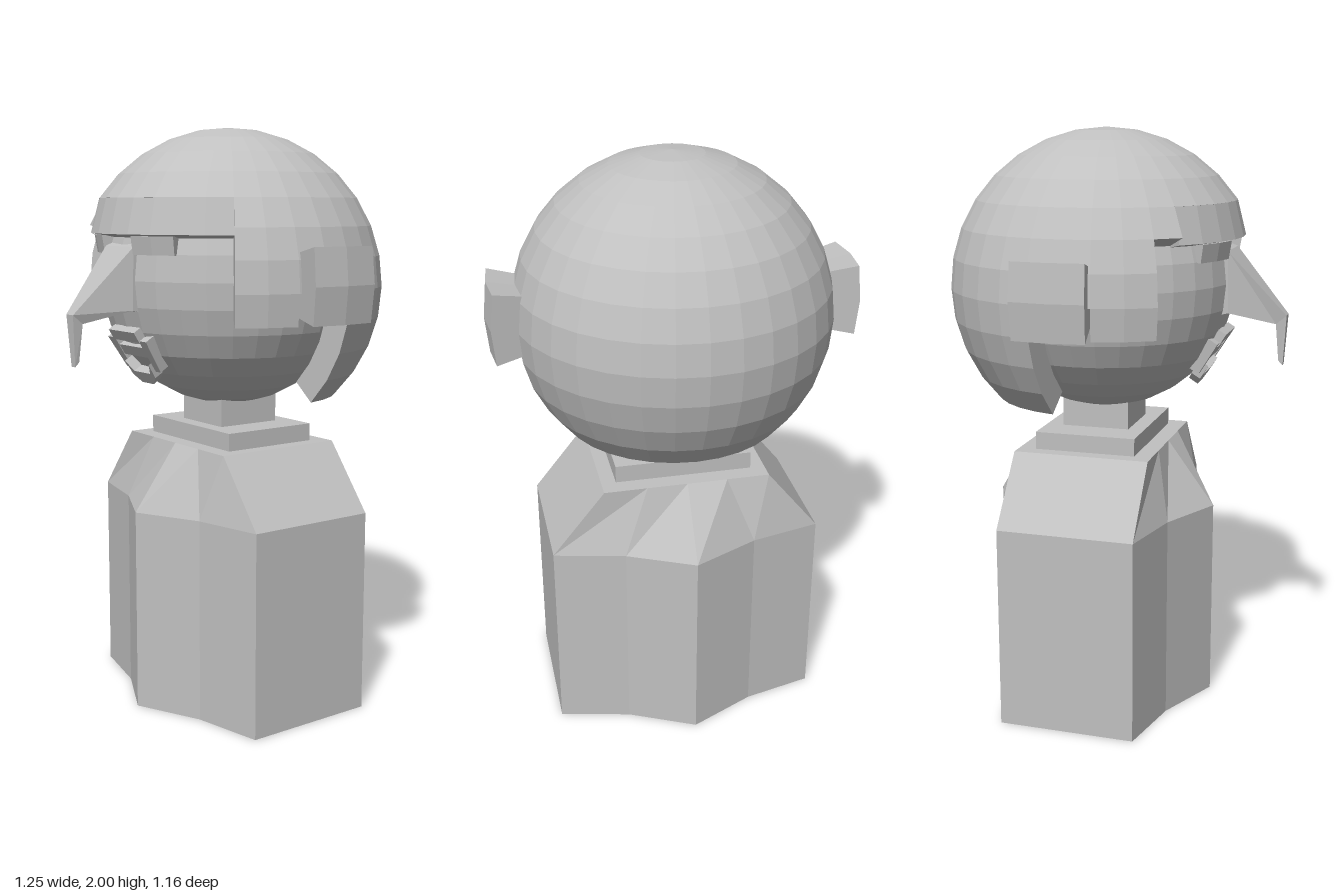
import * as THREE from 'three';
import { mergeGeometries } from 'three/addons/utils/BufferGeometryUtils.js';

const STEP = 11.25; // degrees per facet of the head and hair
const rad = THREE.MathUtils.degToRad;

// Faceted normals
function flat(geometry) {
  const g = geometry.index ? geometry.toNonIndexed() : geometry;
  g.computeVertexNormals();
  return g;
}

// Closed solid through rings of [x, y, z] points with equal counts
function loft(rings) {
  const n = rings[0].length, pos = [];
  const tri = (a, b, c) => pos.push(...a, ...b, ...c);
  const mid = r => [0, 1, 2].map(k => r.reduce((s, p) => s + p[k], 0) / n);
  const first = rings[0], last = rings[rings.length - 1];
  for (let i = 0; i < n; i++) {
    const j = (i + 1) % n;
    for (let s = 0; s < rings.length - 1; s++) {
      const a = rings[s], b = rings[s + 1];
      tri(a[i], a[j], b[j]);
      tri(a[i], b[j], b[i]);
    }
    tri(mid(first), first[j], first[i]);
    tri(mid(last), last[i], last[j]);
  }
  const g = new THREE.BufferGeometry();
  g.setAttribute('position', new THREE.Float32BufferAttribute(pos, 3));
  return flat(g);
}

// Profile of a thick spherical shell between two latitude rings
function arcProfile(from, to, outer, inner, y) {
  const pts = [];
  const add = (k, r) => pts.push([r * Math.sin(rad(k * STEP)), y + r * Math.cos(rad(k * STEP))]);
  for (let k = to; k >= from; k--) add(k, outer);
  for (let k = from; k <= to; k++) add(k, inner);
  return pts;
}

// Sweep a closed profile around y between two angles (0 = front, 90 = left) and cap the ends
function sweep(profile, a0, a1) {
  const pts = profile.map(p => new THREE.Vector2(...p));
  const segs = Math.max(1, Math.round((a1 - a0) / STEP));
  const parts = [new THREE.LatheGeometry([...pts, pts[0].clone()], segs, rad(a0), rad(a1 - a0))];
  if (a1 - a0 < 360) {
    for (const a of [a0, a1]) {
      const cap = new THREE.ShapeGeometry(new THREE.Shape(pts));
      cap.rotateY(rad(a - 90));
      if (a === a1) cap.setIndex([...cap.index.array].reverse());
      parts.push(cap);
    }
  }
  return flat(mergeGeometries(parts.map(p => p.toNonIndexed())));
}

export function createModel() {
  const model = new THREE.Group();
  const grey = new THREE.MeshStandardMaterial({ color: 0xc0c0c0 });
  grey.name = 'plain grey';

  const add = (name, geometry, x = 0, y = 0, z = 0) => {
    const mesh = new THREE.Mesh(geometry, grey);
    mesh.name = name;
    mesh.position.set(x, y, z);
    model.add(mesh);
    return mesh;
  };

  // Body: a notched prism tapering to a rectangular top
  const base = [[0.465, 0.18], [0.465, -0.29], [0.225, -0.345], [0, -0.45], [-0.225, -0.345],
    [-0.465, -0.29], [-0.465, 0.18], [-0.225, 0.235], [0, 0.345], [0.225, 0.235]];
  const shoulder = base.map(([x, z]) => [x * 0.285 / 0.465, 0.925, z > 0 ? 0.18 : -0.29]);
  add('body', loft([
    base.map(([x, z]) => [x, 0, z]),
    base.map(([x, z]) => [x, 0.7, z]),
    shoulder,
  ]));
  add('collar', flat(new THREE.BoxGeometry(0.47, 0.06, 0.35)), 0, 0.955, -0.055);
  add('neck', flat(new THREE.BoxGeometry(0.23, 0.14, 0.235)), 0, 1.05, -0.053);

  // Head
  const HZ = -0.045, HY = 1.495, HR = 0.445;
  add('head', flat(new THREE.SphereGeometry(HR, 32, 16)), 0, HY, HZ);

  // Hair: crown, nape, sideburns and the strands above the ears
  const hair = (name, from, to, a0, a1) =>
    add(name, sweep(arcProfile(from, to, 0.535, 0.445, 1.465), a0, a1), 0, 0, HZ);
  hair('hairCrown', 0, 5, 0, 360);
  hair('hairBack', 5, 12, 101.25, 258.75);
  hair('hairTemple', 5, 6, -56.25, -45);
  for (const s of [1, -1]) {
    const side = s > 0 ? 'left' : 'right';
    const span = (a, b) => (s > 0 ? [a, b] : [-b, -a]);
    hair(side + 'Sideburn', 5, 9, ...span(56.25, 78.75));
    hair(side + 'HairAboveEar', 5, 8, ...span(78.75, 101.25));
    // Ears bulge out as two by two facets
    add(side + 'Ear', sweep(arcProfile(7, 9, 0.623, 0.44, 1.49), ...span(78.75, 101.25)), 0, 0, -0.052);
    // Narrow eyes under the fringe
    add(side + 'Eye', sweep([[0.452, 1.58], [0.462, 1.64], [0.42, 1.64], [0.42, 1.58]],
      ...span(11.25, 32)), 0, 0, HZ);
  }
  add('fringe', sweep([[0.475, 1.645], [0.445, 1.762], [0.39, 1.74], [0.41, 1.632]], -45, 56.25), 0, 0, HZ);

  // Long nose with a hooked tip
  const noseRing = (w, yOut, zOut, yIn, zIn) =>
    [[w, yIn, zIn], [w, yOut, zOut], [-w, yOut, zOut], [-w, yIn, zIn]];
  add('nose', loft([
    noseRing(0.088, 1.63, 0.34, 1.385, 0.34),
    noseRing(0.087, 1.605, 0.395, 1.4, 0.4),
    noseRing(0.022, 1.39, 0.585, 1.36, 0.55),
    noseRing(0.012, 1.22, 0.575, 1.235, 0.56),
  ]));

  // Mouth: a tilted frame with an upper bar and a curved lower lip
  const mouth = new THREE.Group();
  mouth.name = 'mouth';
  mouth.position.set(0, 1.245, 0.325);
  mouth.rotation.x = rad(32);
  model.add(mouth);
  const plate = (name, points, depth, z) => {
    const shape = new THREE.Shape(points.map(p => new THREE.Vector2(...p)));
    const mesh = new THREE.Mesh(
      flat(new THREE.ExtrudeGeometry(shape, { depth, bevelEnabled: false })), grey);
    mesh.name = name;
    mesh.position.z = z;
    mouth.add(mesh);
  };
  plate('upperLip', [[-0.08, 0.065], [0.08, 0.065], [0.08, 0.105], [-0.08, 0.105]], 0.03, -0.015);
  plate('teeth', [[-0.075, 0], [0.075, 0], [0.075, 0.04], [-0.075, 0.04]], 0.022, -0.012);
  plate('lowerLip', [[-0.075, -0.02], [-0.07, -0.075], [-0.035, -0.105], [0.035, -0.105],
    [0.07, -0.075], [0.075, -0.02], [0.05, -0.06], [-0.05, -0.06]], 0.035, -0.012);
  for (const s of [1, -1]) {
    plate(s > 0 ? 'leftMouthCorner' : 'rightMouthCorner',
      [[0.075 * s, -0.055], [0.105 * s, -0.055], [0.12 * s, 0.07], [0.075 * s, 0.07]], 0.04, -0.028);
  }

  return model;
}
